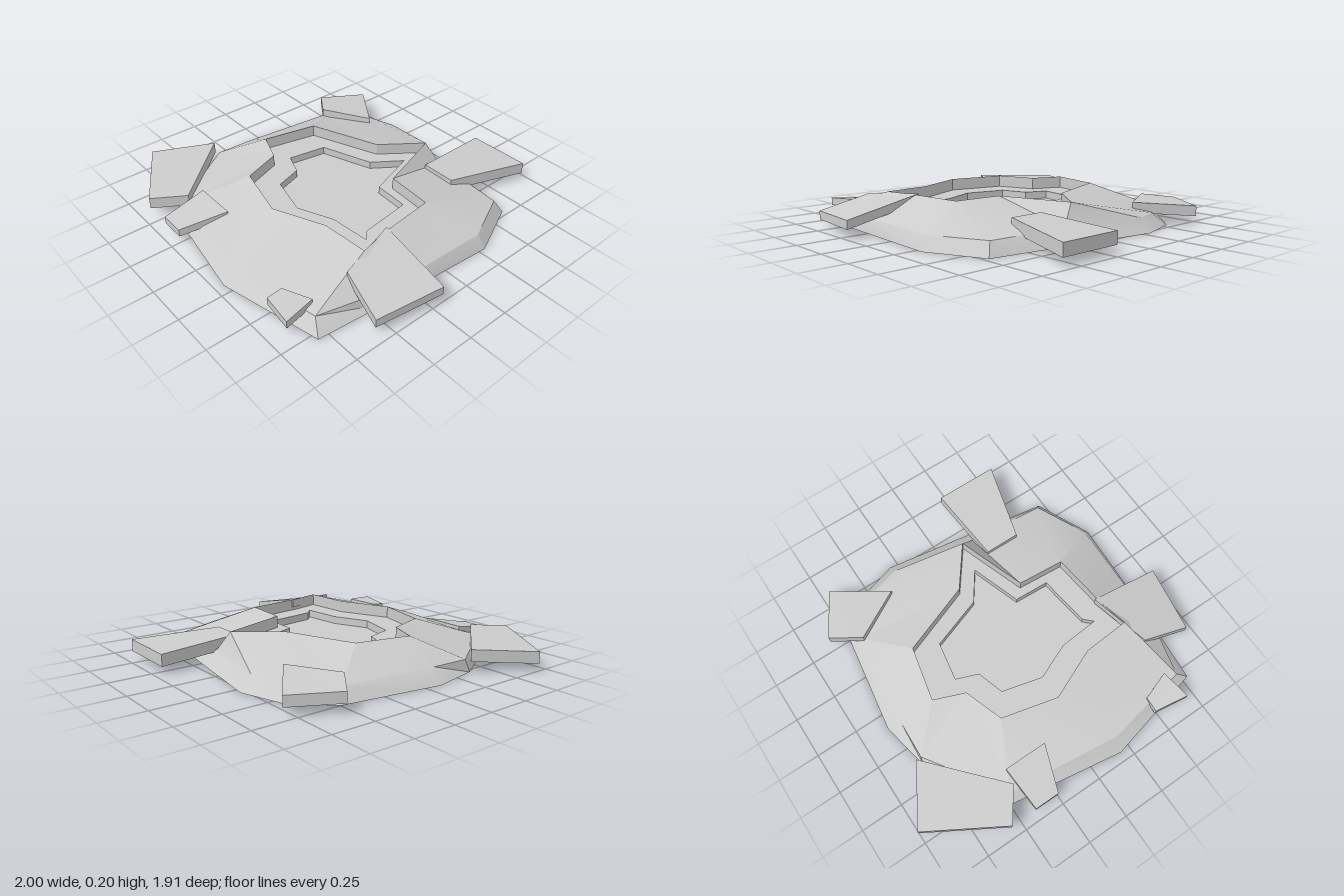
import * as THREE from 'three';
import { toCreasedNormals } from 'three/addons/utils/BufferGeometryUtils.js';

const material = new THREE.MeshStandardMaterial({ color: 0xcccccc });

// Skin of triangles between successive closed loops, skipping collapsed ones
function skin(loops, crease) {
  const pos = [];
  const tri = (a, b, c) => {
    const area = b.clone().sub(a).cross(c.clone().sub(a)).length();
    if (area > 1e-7) for (const p of [a, b, c]) pos.push(p.x, p.y, p.z);
  };
  for (let k = 0; k + 1 < loops.length; k++) {
    const o = loops[k], n = loops[k + 1];
    for (let i = 0; i < o.length; i++) {
      const j = (i + 1) % o.length;
      tri(o[i], n[i], n[j]);
      tri(o[i], n[j], o[j]);
    }
  }
  const g = new THREE.BufferGeometry();
  g.setAttribute('position', new THREE.Float32BufferAttribute(pos, 3));
  return toCreasedNormals(g, crease);
}

const loop = (pts, y) => pts.map(([x, z]) => new THREE.Vector3(x, y, z));
const point = (x, y, z, n) => Array.from({ length: n }, () => new THREE.Vector3(x, y, z));

// Outlines as [x, z], all running clockwise from the back when seen from above
const foot = [[-0.3, -0.78], [0.22, -0.7], [0.22, -0.7], [0.72, -0.62], [0.87, -0.29], [0.825, 0.4], [0.79, 0.81],
  [0.19, 0.95], [0.19, 0.95], [-0.5, 0.84], [-0.78, 0.38], [-0.84, 0.09], [-0.75, -0.5], [-0.56, -0.7]];
const shoulder = [[-0.3, -0.71], [0.21, -0.62], [0.21, -0.62], [0.68, -0.58], [0.82, -0.28], [0.805, 0.42], [0.72, 0.77],
  [0.21, 0.87], [0.21, 0.87], [-0.47, 0.79], [-0.77, 0.35], [-0.76, 0.12], [-0.7, -0.45], [-0.47, -0.66]];
const rim = [[0.12, -0.58], [0.12, -0.58], [0.26, -0.17], [0.54, -0.15], [0.54, -0.15], [0.58, 0.2], [0.62, 0.37],
  [0.34, 0.39], [0.04, 0.52], [-0.29, 0.44], [-0.37, 0.21], [-0.55, 0.14], [-0.48, -0.18], [-0.06, -0.34]];
const pit = [[0.1, -0.42], [0.1, -0.42], [0.2, -0.12], [0.41, -0.11], [0.41, -0.11], [0.45, 0.2], [0.5, 0.25],
  [0.26, 0.27], [0.05, 0.36], [-0.19, 0.3], [-0.24, 0.14], [-0.37, 0.09], [-0.33, -0.14], [-0.02, -0.25]];

// Tilted slab: four top corners [x, y, z], clockwise from above, and a thickness
function slab(corners, thickness) {
  const top = corners.map((c) => new THREE.Vector3(...c));
  const bottom = top.map((p) => p.clone().setY(p.y - thickness));
  const mid = (l) => {
    const c = new THREE.Vector3();
    l.forEach((p) => c.addScaledVector(p, 0.25));
    return point(c.x, c.y, c.z, 4);
  };
  return skin([mid(bottom), bottom, top, mid(top)], 0.4);
}

export function createModel() {
  const group = new THREE.Group();
  const add = (name, geometry) => {
    const mesh = new THREE.Mesh(geometry, material);
    mesh.name = name;
    group.add(mesh);
  };
  const n = foot.length;

  // Raised ground: underside, steep foot and gentler slope to the rim
  add('mound', skin([point(0, 0.005, 0, n), loop(foot, 0.005), loop(shoulder, 0.08), loop(rim, 0.2)], 0.35));

  // Stepped hollow: upright walls, one ledge and a flat floor
  add('crater', skin([loop(rim, 0.2), loop(rim, 0.13), loop(pit, 0.13), loop(pit, 0.085),
    point(0.05, 0.085, 0.05, n)], 0.35));

  // Broken slabs scattered around the edge
  add('backSlab', slab([[0.2, 0.12, -0.96], [0.58, 0.12, -0.96], [0.44, 0.145, -0.47], [0.23, 0.145, -0.47]], 0.07));
  add('leftSlab', slab([[0.56, 0.205, 0.16], [1, 0.11, 0.18], [0.94, 0.1, 0.58], [0.66, 0.175, 0.52]], 0.05));
  add('smallLeftSlab', slab([[0.48, 0.1, 0.79], [0.65, 0.115, 0.73], [0.68, 0.105, 0.91], [0.48, 0.09, 0.88]], 0.045));
  add('frontSlab', slab([[-0.42, 0.14, 0.68], [-0.16, 0.14, 0.68], [-0.25, 0.093, 0.945], [-0.4, 0.093, 0.945]], 0.045));
  add('rightSlab', slab([[-0.8, 0.14, 0.36], [-0.43, 0.14, 0.77], [-0.56, 0.13, 0.95], [-1, 0.115, 0.69]], 0.068));
  add('backRightSlab', slab([[-0.7, 0.11, -0.8], [-0.39, 0.14, -0.58], [-0.68, 0.14, -0.42], [-0.85, 0.115, -0.54]], 0.06));
  return group;
}
